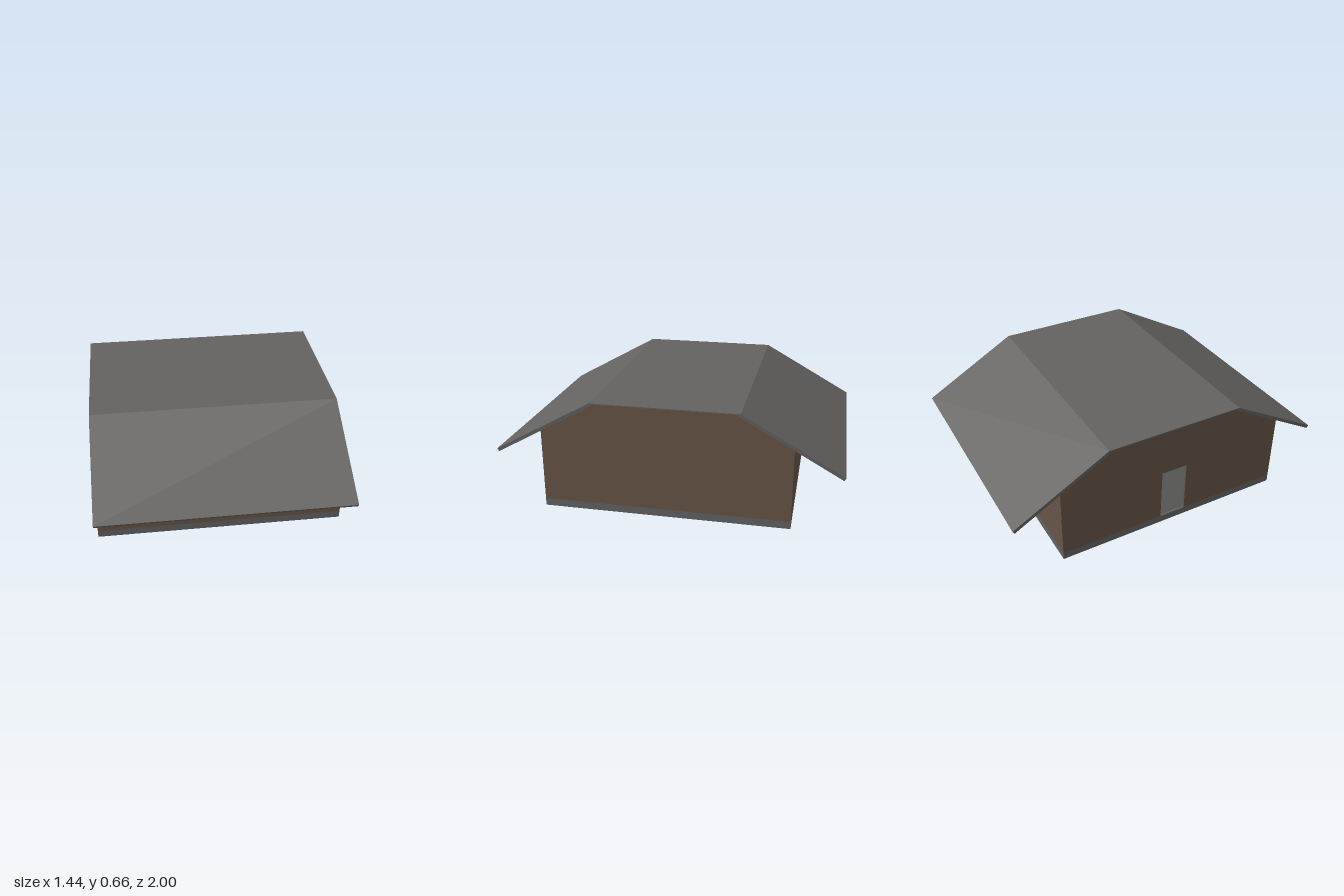
import * as THREE from 'three';

export function createModel() {
  const group = new THREE.Group();
  const material = (name, color) => {
    const m = new THREE.MeshStandardMaterial({ color });
    m.name = name;
    return m;
  };
  const wallMat = material('brown wall', 0x675446);
  const roofMat = material('grey roof', 0x646260);
  const plinthMat = material('grey plinth', 0x636363);
  const doorMat = material('pale door', 0x8c8c8a);

  const add = (name, geometry, mat) => {
    const mesh = new THREE.Mesh(geometry, mat);
    mesh.name = name;
    group.add(mesh);
    return mesh;
  };

  // Closed profile mirrored about z = 0, from a list of (z, y) points on one side
  const mirrored = (half) => [...half, ...half.map(([z, y]) => [-z, y]).reverse()];
  const toShape = (points) => new THREE.Shape(points.map(([z, y]) => new THREE.Vector2(z, y)));

  // Extrude a (z, y) shape along x between x0 and x1
  const alongX = (shape, x0, x1) => {
    const g = new THREE.ExtrudeGeometry(shape, { depth: x1 - x0, bevelEnabled: false });
    return g.rotateY(-Math.PI / 2).translate(x1, 0, 0);
  };

  const half = 0.72, base = 0.045, recess = 0.015;

  // Plinth
  add('plinth', new THREE.BoxGeometry(half * 2, base, half * 2).translate(0, base / 2, 0), plinthMat);

  // Main body and the gable wall with its door opening
  const gable = mirrored([[half, base], [half, 0.475], [0.43, 0.635], [0.4, 0.654]]);
  add('body', alongX(toShape(gable), -half + recess, half), wallMat);

  const doorZ = 0.082, doorTop = 0.37;
  const wall = toShape(mirrored([
    [doorZ, base], [half, base], [half, 0.475], [0.43, 0.635], [0.4, 0.654],
  ]).concat([[-doorZ, doorTop], [doorZ, doorTop]]));
  add('doorWall', alongX(wall, -half, -half + recess), wallMat);

  // Door set back in the opening
  const doorHeight = doorTop - base;
  const door = add('door', new THREE.BoxGeometry(0.004, doorHeight, doorZ * 2), doorMat);
  door.position.set(-half + recess - 0.001, base + doorHeight / 2, 0);

  // Roof: flat centre with two overhanging slopes, as one folded sheet
  const roof = toShape([
    ...mirrored([[0.99, 0.322], [1, 0.34], [0.425, 0.66]]),
    [-0.43, 0.635], [-0.4, 0.654], [0.4, 0.654], [0.43, 0.635],
  ]);
  add('roof', alongX(roof, -half, half), roofMat);

  return group;
}
